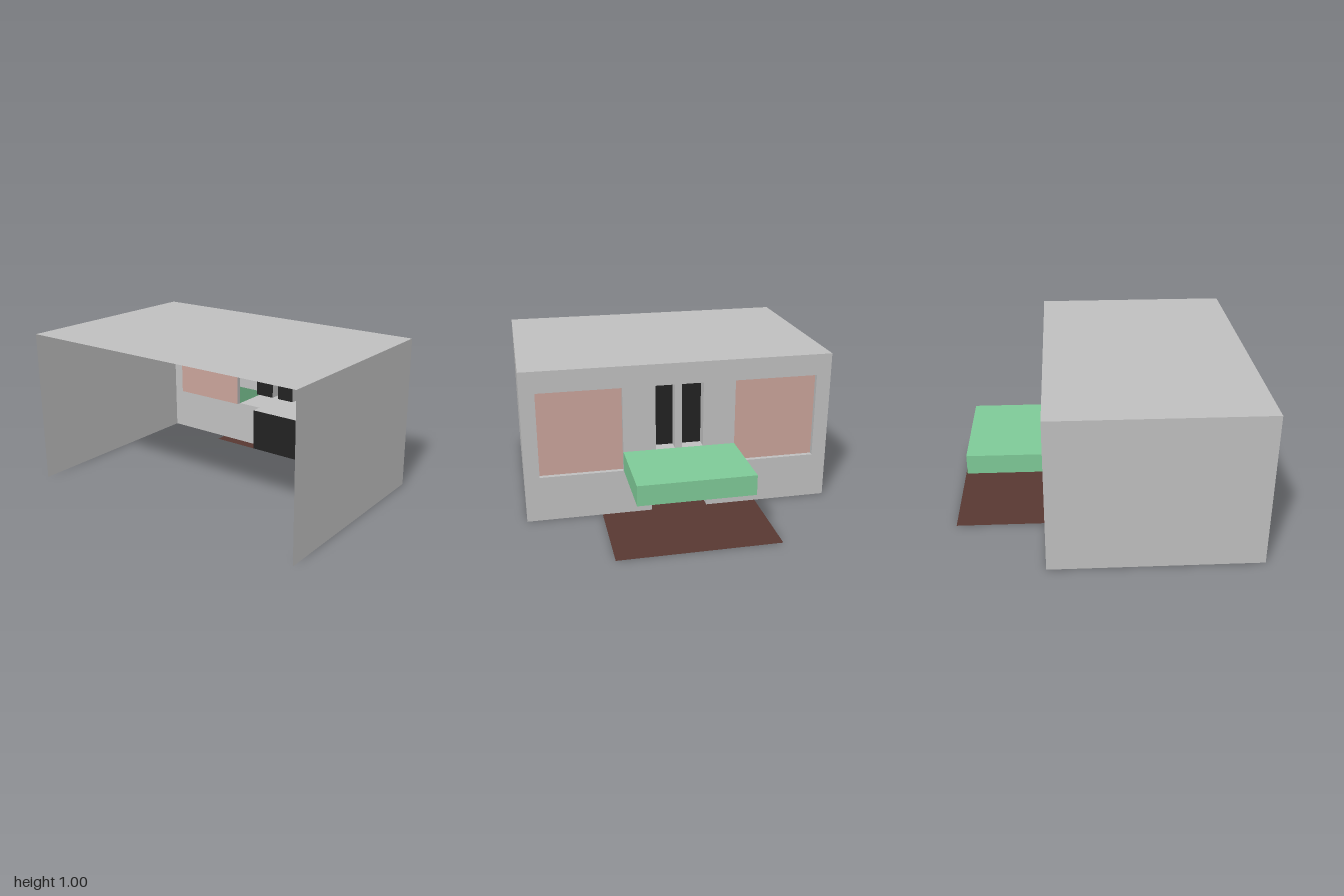
import * as THREE from 'three';
import { mergeGeometries } from 'three/addons/utils/BufferGeometryUtils.js';

// Flat rectangles, named by the axis they are perpendicular to
const faceX = (x, y0, y1, z0, z1) =>
  new THREE.PlaneGeometry(z1 - z0, y1 - y0).rotateY(Math.PI / 2).translate(x, (y0 + y1) / 2, (z0 + z1) / 2);
const faceY = (y, x0, x1, z0, z1) =>
  new THREE.PlaneGeometry(x1 - x0, z1 - z0).rotateX(-Math.PI / 2).translate((x0 + x1) / 2, y, (z0 + z1) / 2);
const faceZ = (z, x0, x1, y0, y1) =>
  new THREE.PlaneGeometry(x1 - x0, y1 - y0).translate((x0 + x1) / 2, (y0 + y1) / 2, z);

function material(name, color) {
  const m = new THREE.MeshStandardMaterial({ color, side: THREE.DoubleSide });
  m.name = name;
  return m;
}

export function createModel() {
  const group = new THREE.Group();
  const grey = material('wallGrey', 0xc0c0c0);
  const pink = material('windowPink', 0xcaa49b);
  const green = material('canopyGreen', 0x7fcb98);
  const brown = material('matBrown', 0x583832);
  const black = material('doorBlack', 0x222222);

  const add = (name, mat, ...faces) => {
    const mesh = new THREE.Mesh(mergeGeometries(faces), mat);
    mesh.name = name;
    group.add(mesh);
  };

  const back = -0.96, wall = 0.37, deep = 0.295;

  // Shell, open at the back and underneath
  add('roof', grey, faceY(1, back, wall, -1, 1));
  add('leftWall', grey, faceZ(1, back, wall, 0, 1));
  add('rightWall', grey, faceZ(-1, back, wall, 0, 1));

  // Entrance wall, as panels around the openings: y0, y1, z0, z1
  add('entranceWall', grey, ...[
    [0.86, 1, -1, 1],
    [0, 0.86, 0.905, 1],
    [0, 0.86, -1, -0.905],
    [0, 0.3, 0.19, 0.905],
    [0, 0.3, -0.905, -0.18],
    [0.43, 0.86, 0.16, 0.37],
    [0.43, 0.86, -0.01, 0.035],
    [0.43, 0.86, -0.36, -0.15],
  ].map(r => faceX(wall, ...r)));

  // Recessed openings: pane at the back, grey reveal around it
  const recess = (name, mat, x, y0, y1, z0, z1) => {
    add(name, mat, faceX(x, y0, y1, z0, z1));
    const reveal = [
      faceZ(z0, x, wall, y0, y1),
      faceZ(z1, x, wall, y0, y1),
      faceY(y1, x, wall, z0, z1),
    ];
    if (y0 > 0) reveal.push(faceY(y0, x, wall, z0, z1));
    add(name + 'Reveal', grey, ...reveal);
  };
  recess('leftWindow', pink, 0.34, 0.3, 0.86, 0.37, 0.905);
  recess('rightWindow', pink, 0.34, 0.3, 0.86, -0.905, -0.36);
  recess('leftSlit', black, deep, 0.43, 0.86, 0.035, 0.16);
  recess('rightSlit', black, deep, 0.43, 0.86, -0.15, -0.01);
  recess('door', black, deep, 0, 0.3, -0.18, 0.19);

  // Canopy over the door, with an unpainted underside
  add('canopy', green,
    faceY(0.43, wall, 0.875, -0.36, 0.37),
    faceX(0.875, 0.3, 0.43, -0.36, 0.37),
    faceZ(0.37, wall, 0.875, 0.3, 0.43),
    faceZ(-0.36, wall, 0.875, 0.3, 0.43));
  add('canopyUnderside', grey, faceY(0.3, wall, 0.875, -0.36, 0.37));

  // Entrance mat on the ground, running into the doorway
  add('entranceMat', brown, faceY(0, deep, 0.955, -0.515, 0.515));

  return group;
}
